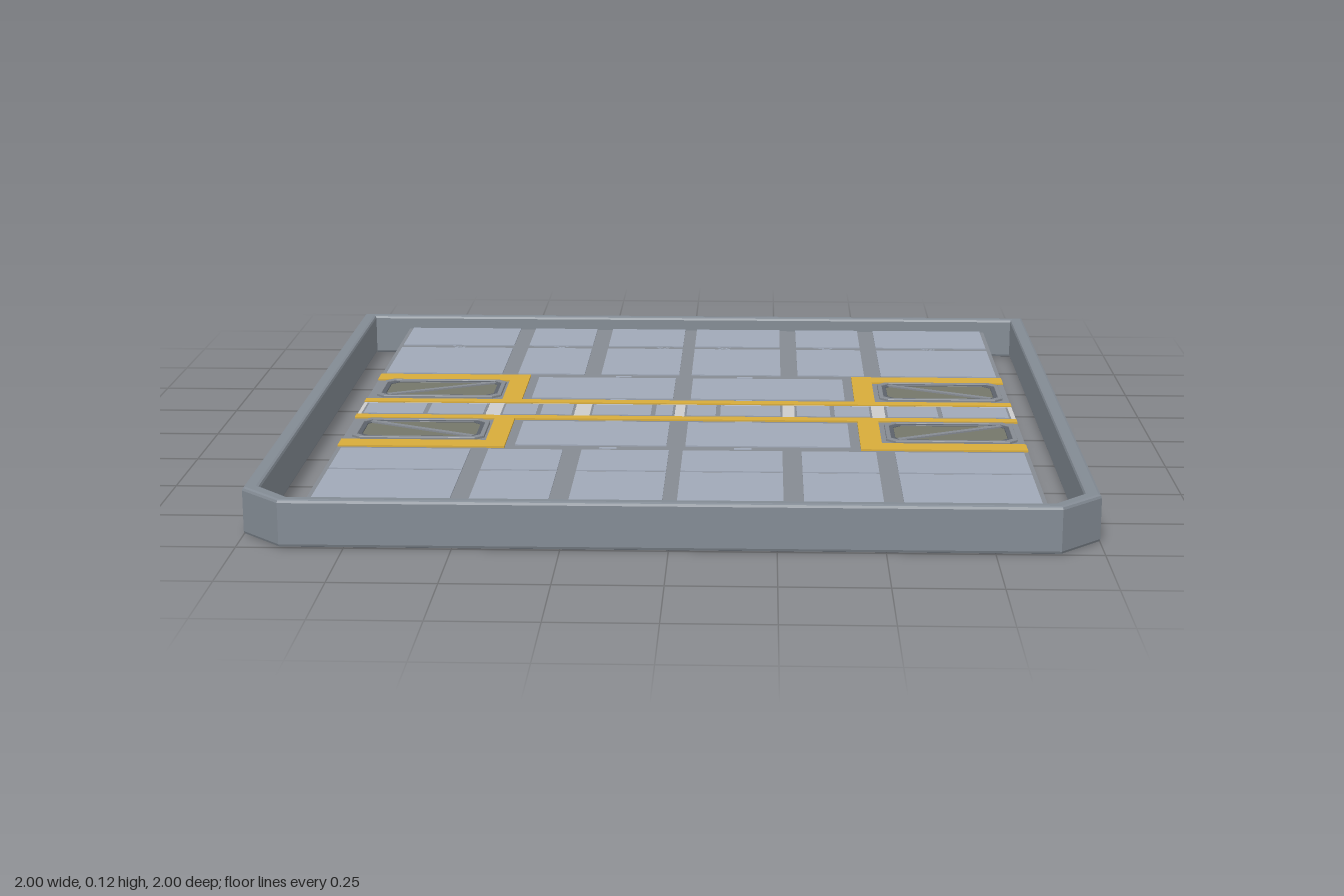
import * as THREE from 'three';

const mat = (color) => new THREE.MeshStandardMaterial({ color });
const MATS = {
  frame: mat(0x838b94), seam: mat(0x868b92), panel: mat(0xa0a9b8),
  stripe: mat(0xd8ac3a), vent: mat(0x75776a), light: mat(0xc6c8ca), dark: mat(0x5c626a),
};

// Flat slab from x and z ranges; h is half its thickness about the deck's mid plane
const MID = 0.07;
function slab(parent, name, material, x0, x1, z0, z1, h) {
  const m = new THREE.Mesh(new THREE.BoxGeometry(x1 - x0, 2 * h, z1 - z0), material);
  m.position.set((x0 + x1) / 2, MID, (z0 + z1) / 2);
  m.name = name;
  parent.add(m);
}

// Slim bar between two points on the deck
function bar(parent, name, material, ax, az, bx, bz, width, h) {
  const dx = bx - ax, dz = bz - az;
  const m = new THREE.Mesh(new THREE.BoxGeometry(Math.hypot(dx, dz), 2 * h, width), material);
  m.position.set((ax + bx) / 2, MID, (az + bz) / 2);
  m.rotation.y = -Math.atan2(dz, dx);
  m.name = name;
  parent.add(m);
}

// Outline in x and z, turned counter-clockwise so outer and inner walls face outward
const points = (list) => list.map(([x, z]) => new THREE.Vector2(x, -z)).reverse();

// Extruded ring standing up along y, with a small bevel
function ring(outer, inner, y0, y1, bevel) {
  const shape = new THREE.Shape(points(outer));
  shape.holes.push(new THREE.Path(points(inner)));
  const g = new THREE.ExtrudeGeometry(shape, {
    depth: y1 - y0 - 2 * bevel, bevelEnabled: true, bevelSegments: 2,
    bevelSize: bevel, bevelThickness: bevel, bevelOffset: -bevel,
  });
  return g.rotateX(-Math.PI / 2).translate(0, y0 + bevel, 0);
}

// Rectangle with cut corners
function octagon(x0, x1, z0, z1, c) {
  return [[x0 + c, z0], [x1 - c, z0], [x1, z0 + c], [x1, z1 - c],
    [x1 - c, z1], [x0 + c, z1], [x0, z1 - c], [x0, z0 + c]];
}

// Outer wall: square at the back, cut corners at the front
function outerFrame() {
  const outer = [[-1, -1], [1, -1], [1, 0.9], [0.9, 1], [-0.9, 1], [-1, 0.9]];
  const inner = [[-0.962, -0.97], [0.962, -0.97], [0.962, 0.882], [0.882, 0.967],
    [-0.882, 0.967], [-0.962, 0.882]];
  const m = new THREE.Mesh(ring(outer, inner, 0, 0.115, 0.008), MATS.frame);
  m.name = 'outerFrame';
  return m;
}

// Recessed hatch with a cut-corner rim and a diagonal brace
function hatch(x0, x1, z0, z1, rising) {
  const g = new THREE.Group();
  g.name = 'hatch';
  slab(g, 'hatchFloor', MATS.vent, x0 + 0.018, x1 - 0.018, z0 + 0.018, z1 - 0.018, 0.0065);
  const rims = [['hatchRim', MATS.seam, 0, 0.012], ['hatchInnerRim', MATS.dark, 0.011, 0.0095]];
  for (const [name, material, inset, h] of rims) {
    const o = octagon(x0 + inset, x1 - inset, z0 + inset, z1 - inset, 0.022);
    const t = inset + 0.012;
    const i = octagon(x0 + t, x1 - t, z0 + t, z1 - t, 0.02);
    const m = new THREE.Mesh(ring(o, i, MID - h, MID + h, 0.002), material);
    m.name = name;
    g.add(m);
  }
  const [za, zb] = rising ? [z1 - 0.025, z0 + 0.025] : [z0 + 0.025, z1 - 0.025];
  bar(g, 'brace', MATS.seam, x0 + 0.03, za, x1 - 0.03, zb, 0.016, 0.0105);
  return g;
}

export function createModel() {
  const model = new THREE.Group();
  model.name = 'deckPlatform';
  model.add(outerFrame());

  const deck = new THREE.Group();
  deck.name = 'deck';
  model.add(deck);
  const L = -0.86, R = 0.882;
  slab(deck, 'deckBase', MATS.seam, L, R, -0.972, 0.902, 0.005);

  // Raised panels between the seams, front and back
  const columns = [[-0.848, -0.52], [-0.475, -0.287], [-0.24, -0.02],
    [0.015, 0.265], [0.313, 0.5], [0.547, 0.87]];
  const rows = [[-0.971, -0.745], [-0.71, -0.393], [0.41, 0.597], [0.609, 0.888]];
  for (const [x0, x1] of columns)
    for (const [z0, z1] of rows) slab(deck, 'deckPanel', MATS.panel, x0, x1, z0, z1, 0.008);

  // Wide panels beside the centre channel
  for (const [x0, x1] of [[-0.412, -0.028], [0.02, 0.437]])
    for (const [z0, z1] of [[-0.35, -0.118], [0.132, 0.365]])
      slab(deck, 'widePanel', MATS.panel, x0, x1, z0, z1, 0.008);

  // Centre channel with split panels
  slab(deck, 'channelFloor', MATS.light, L, R, -0.062, 0.077, 0.006);
  const cells = [[-0.85, -0.68, -0.52], [-0.48, -0.38, -0.285], [-0.243, -0.075, -0.018],
    [0.008, 0.097, 0.268], [0.3, 0.4, 0.505], [0.54, 0.685, 0.87]];
  for (const [a, s, b] of cells) {
    slab(deck, 'channelSeam', MATS.seam, a, b, -0.053, 0.068, 0.007);
    slab(deck, 'channelPanel', MATS.panel, a + 0.006, s - 0.006, -0.047, 0.062, 0.0085);
    slab(deck, 'channelPanel', MATS.panel, s + 0.006, b - 0.006, -0.047, 0.062, 0.0085);
  }

  // Coloured stripes: two along the channel, an L around each hatch
  const H = 0.0095;
  slab(deck, 'channelStripe', MATS.stripe, L, R, -0.093, -0.06, H);
  slab(deck, 'channelStripe', MATS.stripe, L, R, 0.077, 0.11, H);
  for (const [x0, x1] of [[-0.49, -0.437], [0.463, 0.518]]) {
    slab(deck, 'crossStripe', MATS.stripe, x0, x1, -0.31, -0.093, H);
    slab(deck, 'crossStripe', MATS.stripe, x0, x1, 0.11, 0.33, H);
  }
  for (const [x0, x1] of [[L, -0.437], [0.463, R]]) {
    slab(deck, 'sideStripe', MATS.stripe, x0, x1, -0.372, -0.31, H);
    slab(deck, 'sideStripe', MATS.stripe, x0, x1, 0.33, 0.39, H);
  }

  // Four hatches, braces mirrored about both axes
  for (const [x0, x1, left] of [[-0.838, -0.498, false], [0.532, 0.865, true]]) {
    deck.add(hatch(x0, x1, -0.305, -0.115, !left));
    deck.add(hatch(x0, x1, 0.125, 0.315, left));
  }

  // Crossed ties in the back seam and small latches by the wide panels
  for (const x of [-0.68, -0.38, -0.078, 0.1, 0.4, 0.7])
    for (const s of [-1, 1])
      bar(deck, 'crossTie', MATS.panel, x - 0.02, -0.728 - s * 0.013, x + 0.02, -0.728 + s * 0.013, 0.004, 0.006 + s * 0.0004);
  for (const x of [-0.175, 0.165])
    for (const z of [-0.37, -0.106, 0.12, 0.385])
      slab(deck, 'latch', MATS.panel, x - 0.022, x + 0.022, z - 0.006, z + 0.006, 0.0065);

  return model;
}
